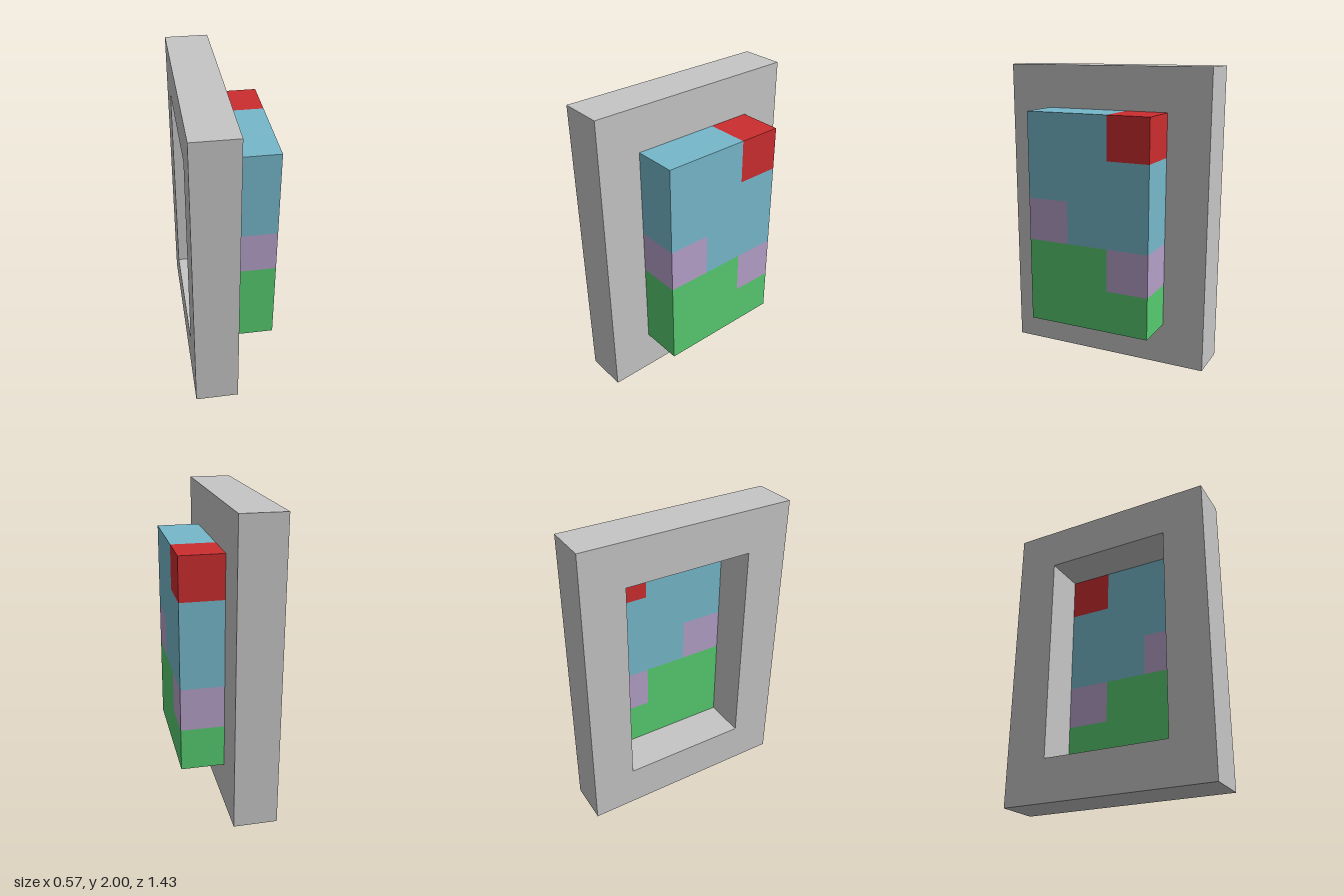
import * as THREE from 'three';

const U = 2 / 7; // one grid cell

const material = (name, color) => {
  const m = new THREE.MeshStandardMaterial({ color });
  m.name = name;
  return m;
};

// Corner list in cells: a = steps toward -z, b = steps up
const toPoints = (corners) => corners.map(([a, b]) => new THREE.Vector2(a * U, b * U));
const rect = (a0, b0, a1, b1) => [[a0, b0], [a1, b0], [a1, b1], [a0, b1]];

// Slab one cell thick, its outline facing +x
function slab(name, mat, corners, x, hole) {
  const shape = new THREE.Shape(toPoints(corners));
  if (hole) shape.holes.push(new THREE.Path(toPoints(hole)));
  const geometry = new THREE.ExtrudeGeometry(shape, { depth: U, bevelEnabled: false });
  geometry.rotateY(Math.PI / 2);
  geometry.translate(x, 0, 0);
  const mesh = new THREE.Mesh(geometry, mat);
  mesh.name = name;
  return mesh;
}

export function createModel() {
  const grey = material('grey', 0xc5c5c5);
  const blue = material('blue', 0x76b8cb);
  const green = material('green', 0x56ca6f);
  const purple = material('purple', 0xb4a0c8);
  const red = material('red', 0xcb2d2e);

  const model = new THREE.Group();
  model.name = 'framedPanel';

  // Open rectangular frame
  model.add(slab('frame', grey, rect(-2.5, 0, 2.5, 7), -U, rect(-1.5, 1, 1.5, 6)));

  // Panel of interlocking colour blocks in front of the opening
  const panel = new THREE.Group();
  panel.name = 'panel';
  panel.add(
    slab('sky', blue, [[-0.5, 3], [1.5, 3], [1.5, 5], [0.5, 5], [0.5, 6], [-1.5, 6], [-1.5, 4], [-0.5, 4]], 0),
    slab('grass', green, [[-1.5, 1], [1.5, 1], [1.5, 2], [0.5, 2], [0.5, 3], [-1.5, 3]], 0),
    slab('upperFlower', purple, rect(-1.5, 3, -0.5, 4), 0),
    slab('lowerFlower', purple, rect(0.5, 2, 1.5, 3), 0),
    slab('redCorner', red, rect(0.5, 5, 1.5, 6), 0),
  );
  model.add(panel);
  return model;
}
